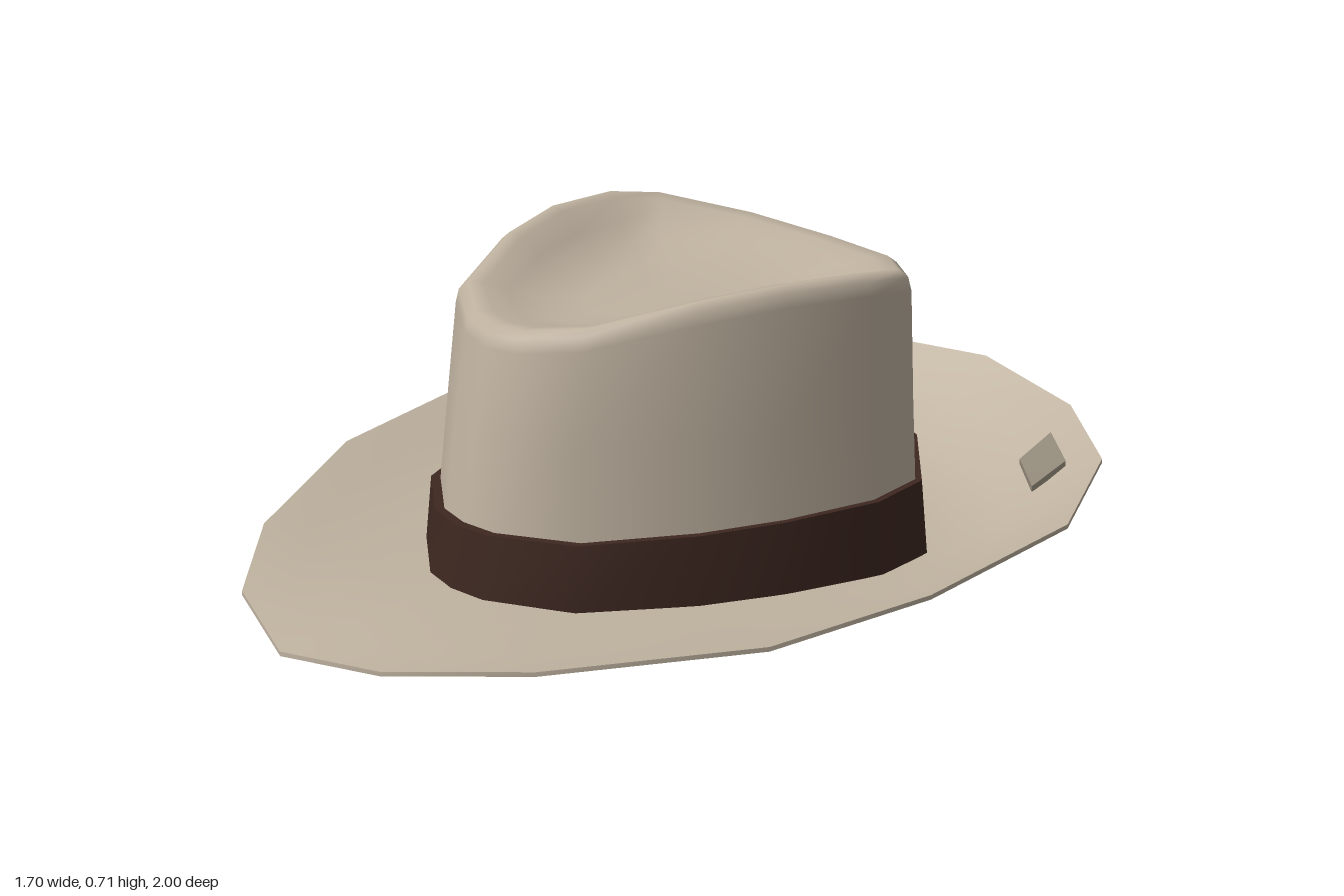
import * as THREE from 'three';
import { toCreasedNormals } from 'three/addons/utils/BufferGeometryUtils.js';

const SIDES = 16;
const felt = new THREE.MeshStandardMaterial({ color: 0xbfb2a0, side: THREE.DoubleSide });
const ribbon = new THREE.MeshStandardMaterial({ color: 0x3d2720, side: THREE.DoubleSide });
const shade = new THREE.MeshStandardMaterial({ color: 0x8f8677 });

// Half outlines [x, z] from front to back
const BRIM = [[0, 1], [0.27, 0.93], [0.52, 0.725], [0.78, 0.34], [0.85, -0.03], [0.82, -0.45], [0.63, -0.75], [0.36, -0.925], [0, -1]];
const RIM_Y = [0.01, 0.04, 0.07, 0.11, 0.15, 0.195, 0.222, 0.24, 0.255];
const BASE = [[0, 0.575], [0.1, 0.56], [0.28, 0.45], [0.41, 0.22], [0.475, 0.03], [0.52, -0.2], [0.487, -0.36], [0.265, -0.55], [0, -0.62]];
const TOP = [[0, 0.475], [0.09, 0.462], [0.23, 0.39], [0.36, 0.18], [0.43, 0], [0.465, -0.2], [0.44, -0.335], [0.25, -0.475], [0, -0.515]];

// Full mirrored ring from a function of the half index: pick(k) -> [x, y, z]
function ring(pick) {
  return Array.from({ length: SIDES }, (_, i) => {
    const [x, y, z] = pick(i <= 8 ? i : SIDES - i);
    return [i <= 8 ? x : -x, y, z];
  });
}

// Skin over successive rings
function loft(rings, crease) {
  const index = [];
  for (let j = 0; j < rings.length - 1; j++) {
    for (let i = 0; i < SIDES; i++) {
      const n = (i + 1) % SIDES;
      const a = j * SIDES + i, b = j * SIDES + n, c = a + SIDES, d = b + SIDES;
      index.push(a, b, d, a, d, c);
    }
  }
  const geo = new THREE.BufferGeometry();
  geo.setAttribute('position', new THREE.Float32BufferAttribute(rings.flat(2), 3));
  geo.setIndex(index);
  geo.computeVertexNormals();
  return crease ? toCreasedNormals(geo, crease) : geo;
}

function addMesh(group, name, geo, material) {
  const mesh = new THREE.Mesh(geo, material);
  mesh.name = name;
  group.add(mesh);
}

// Brim ring: t = 0 at the opening, 1 at the rim
const INNER_Y = 0.045;
function brimRing(t, drop = 0) {
  return ring(k => [
    THREE.MathUtils.lerp(BASE[k][0] * 0.96, BRIM[k][0], t),
    INNER_Y + (RIM_Y[k] - INNER_Y) * t * t - drop,
    THREE.MathUtils.lerp(BASE[k][1] * 0.96, BRIM[k][1], t),
  ]);
}

// Small square patch set into the rear brim between two outline indices
function patch(i0, i1) {
  const geo = new THREE.BoxGeometry(1, 1, 1);
  const p = geo.attributes.position;
  const mid = brimRing(0.5), rim = brimRing(1);
  for (let v = 0; v < p.count; v++) {
    const f = THREE.MathUtils.lerp(i0, i1, p.getX(v) + 0.5);
    const t = 0.32 + 0.38 * (p.getZ(v) + 0.5);
    const i = Math.floor(f);
    const at = c => THREE.MathUtils.lerp(
      THREE.MathUtils.lerp(mid[i][c], mid[i + 1][c], f - i),
      THREE.MathUtils.lerp(rim[i][c], rim[i + 1][c], f - i), t);
    p.setXYZ(v, at(0), at(1) + (p.getY(v) > 0 ? 0.004 : -0.014), at(2));
  }
  geo.computeVertexNormals();
  return geo;
}

// Height of the crown's ridge along z
const ridgeY = z => 0.712 - (z > -0.08 ? 0.33 : 0.36) * (z + 0.08) ** 2;

function crownRings() {
  const blend = (t, y) => ring(k => [
    THREE.MathUtils.lerp(BASE[k][0] * 0.965, TOP[k][0], t), y(k),
    THREE.MathUtils.lerp(BASE[k][1] * 0.965, TOP[k][1], t)]);
  const inset = (s, y) => ring(k => [TOP[k][0] * s, y(TOP[k][1]), (TOP[k][1] + 0.03) * s - 0.03]);
  const floorY = z => 0.605 - 0.03 * z;
  const dish = m => z => THREE.MathUtils.lerp(ridgeY(z), Math.min(floorY(z), ridgeY(z) - 0.025), m);
  return [
    blend(0, () => 0.04),
    blend(0.3, () => 0.2),
    blend(0.65, () => 0.4),
    blend(1, k => ridgeY(TOP[k][1]) - 0.045),
    inset(0.985, z => ridgeY(z) - 0.015),
    inset(0.945, ridgeY),
    inset(0.87, dish(0.08)),
    inset(0.76, dish(0.5)),
    inset(0.62, dish(0.9)),
    inset(0.42, z => floorY(z * 0.42) - 0.008),
    inset(0, () => 0.597),
  ];
}

export function createModel() {
  const hat = new THREE.Group();
  hat.name = 'hat';

  // Crown with pinched teardrop top
  addMesh(hat, 'crown', loft(crownRings()), felt);

  // Thin brim: underside outwards, topside back in, then the opening's edge
  const steps = [0, 0.25, 0.5, 0.75, 1];
  const under = steps.map(t => brimRing(t, 0.01));
  const over = steps.map(t => brimRing(t)).reverse();
  addMesh(hat, 'brim', loft([...under, ...over, under[0]], 1), felt);

  // Ribbon band, a little higher at the sides and back
  const bandRing = (s, y) => ring(k => [BASE[k][0] * s, y(BASE[k][1]), BASE[k][1] * s]);
  const topY = z => 0.205 - 0.033 * z;
  addMesh(hat, 'hatBand', loft([
    bandRing(1, () => 0.044),
    bandRing(0.973, topY),
    bandRing(0.935, topY),
  ], 0.8), ribbon);

  // Patches on the rear of the brim
  addMesh(hat, 'leftBrimPatch', patch(6.3, 6.85), shade);
  addMesh(hat, 'rightBrimPatch', patch(9.15, 9.7), shade);

  return hat;
}
